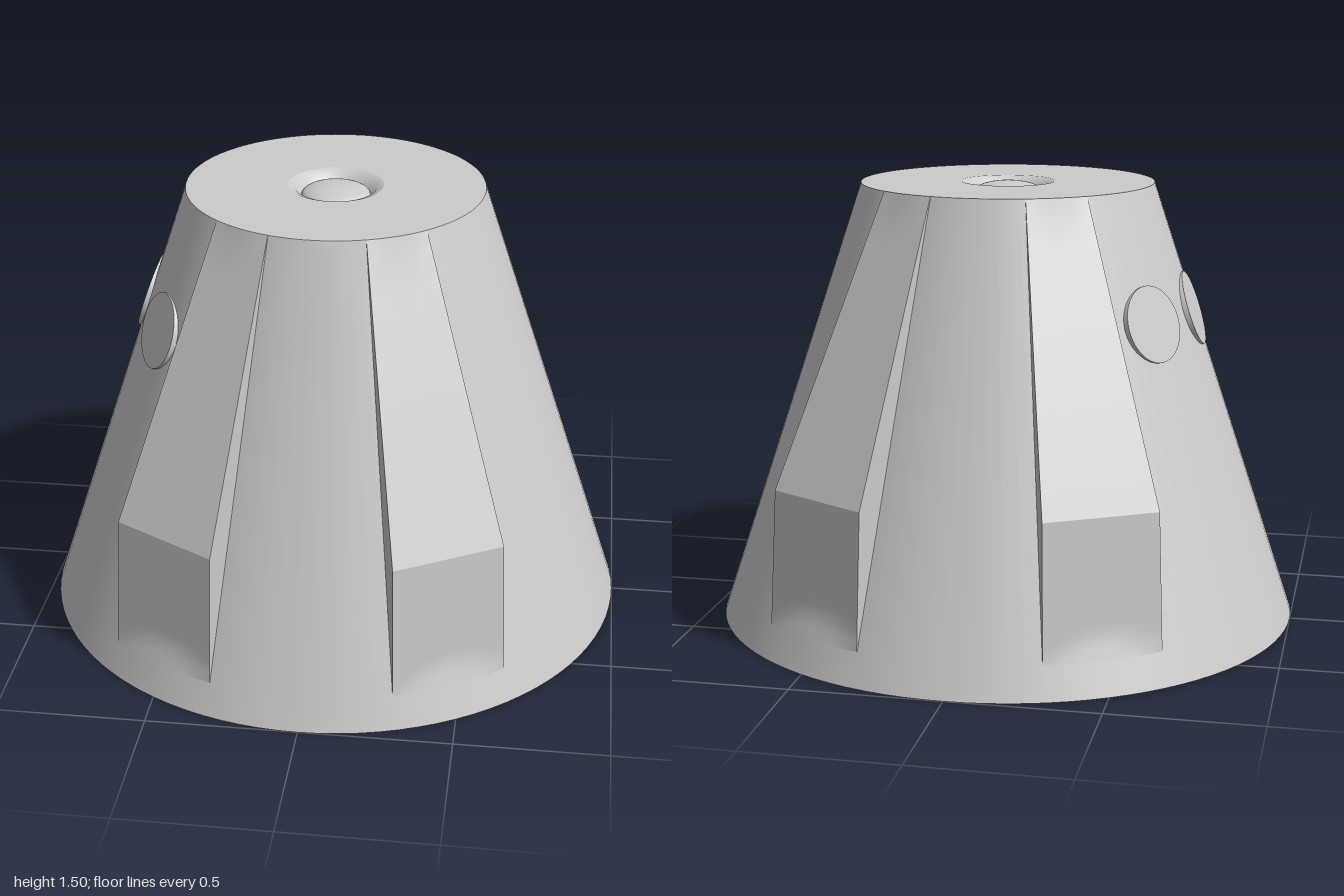
import * as THREE from 'three';

const HEIGHT = 1.5;
const HALF = THREE.MathUtils.degToRad(12); // half angle covered by a fairing
const coneRadius = (y) => 1 - y / 3;
const material = new THREE.MeshStandardMaterial({ color: 0xcccccc });

function addMesh(parent, name, geometry) {
  const mesh = new THREE.Mesh(geometry, material);
  mesh.name = name;
  parent.add(mesh);
  return mesh;
}

function lathe(points) {
  return new THREE.LatheGeometry(points.map(([r, y]) => new THREE.Vector2(r, y)), 96);
}

// Surface through rows of points: rows go up, points go right as seen from outside
function grid(rows) {
  const n = rows[0].length;
  const index = [];
  for (let i = 0; i < rows.length - 1; i++) {
    for (let j = 0; j < n - 1; j++) {
      const a = i * n + j;
      index.push(a, a + 1, a + n + 1, a, a + n + 1, a + n);
    }
  }
  const geometry = new THREE.BufferGeometry();
  geometry.setAttribute('position', new THREE.Float32BufferAttribute(rows.flat(2), 3));
  geometry.setIndex(index);
  geometry.computeVertexNormals();
  return geometry;
}

const polar = (r, t, y) => [r * Math.sin(t), y, r * Math.cos(t)];

// Flat face between two corner radii, kept just outside the cone
function outerPoint(r, t, y) {
  const chord = (r * Math.cos(HALF)) / Math.cos(t);
  return polar(Math.max(chord, coneRadius(y) + 0.002), t, y);
}

function createFairing() {
  const fairing = new THREE.Group();
  const panels = [
    ['fairingLowerPanel', [0.11, 0.965], [0.56, 0.938]],
    ['fairingUpperPanel', [0.56, 0.938], [HEIGHT, 0.502]],
  ];
  for (const [name, [y0, r0], [y1, r1]] of panels) {
    const face = [], rightWall = [], leftWall = [];
    for (let i = 0; i <= 12; i++) {
      const y = THREE.MathUtils.lerp(y0, y1, i / 12);
      const r = THREE.MathUtils.lerp(r0, r1, i / 12);
      const inner = coneRadius(y) - 0.01;
      const row = [];
      for (let j = 0; j <= 8; j++) row.push(outerPoint(r, HALF * (j / 4 - 1), y));
      face.push(row);
      rightWall.push([row[8], polar(inner, HALF, y)]);
      leftWall.push([polar(inner, -HALF, y), row[0]]);
    }
    addMesh(fairing, name, grid(face));
    addMesh(fairing, 'fairingSideWall', grid(rightWall));
    addMesh(fairing, 'fairingSideWall', grid(leftWall));
  }
  return fairing;
}

export function createModel() {
  const model = new THREE.Group();
  model.name = 'capsule';

  // Conical hull with flat base and top
  addMesh(model, 'hull', lathe([[1, 0], [0.5, HEIGHT]]));
  addMesh(model, 'base', lathe([[0, 0], [1, 0]]));
  addMesh(model, 'topDeck', lathe([[0.5, HEIGHT], [0.16, HEIGHT]]));

  // Shallow dish with a small dome in the middle of the deck
  addMesh(model, 'topDish', lathe([[0.16, HEIGHT], [0.135, 1.49], [0.115, 1.465]]));
  const dome = [];
  for (let i = 0; i <= 8; i++) {
    const a = (i / 8) * Math.PI / 2;
    dome.push([0.115 * Math.cos(a), 1.465 + 0.035 * Math.sin(a)]);
  }
  addMesh(model, 'topDome', lathe(dome));

  // Four fairings, in pairs towards the front and the back
  for (const degrees of [30, -30, 150, -150]) {
    const fairing = createFairing();
    fairing.name = 'fairing';
    fairing.rotation.y = THREE.MathUtils.degToRad(degrees);
    model.add(fairing);
  }

  // Three round windows on one flank, lying along the slope
  const windowY = 1.08;
  const slope = Math.atan(1 / 3);
  for (const degrees of [-31, 0, 31]) {
    const mount = new THREE.Group();
    mount.name = 'window';
    mount.rotation.y = THREE.MathUtils.degToRad(degrees - 90);
    const pane = addMesh(mount, 'windowPane', new THREE.CylinderGeometry(0.128, 0.128, 0.03, 40));
    pane.position.set(0, windowY, coneRadius(windowY) - 0.01);
    pane.rotation.x = Math.PI / 2 - slope;
    model.add(mount);
  }
  return model;
}
